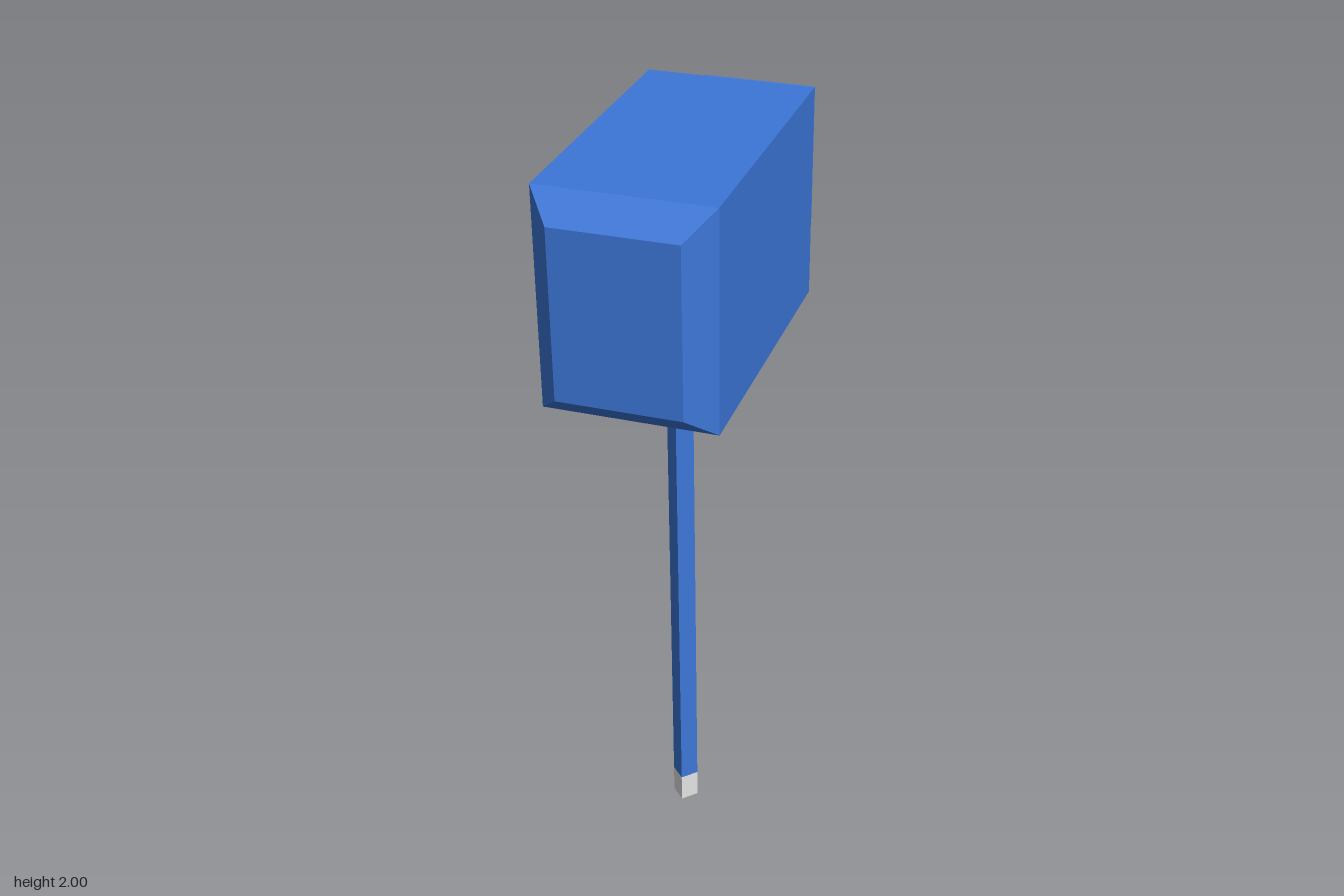
import * as THREE from 'three';

const HEAD_Y = 1.726;
const CORNERS = [[1, 1], [-1, 1], [-1, -1], [1, -1]];

// Rectangular loft along z, sections run front to back as [z, halfWidth, halfHeight]
function loft(sections) {
  const pos = [];
  const rings = sections.map(([z, w, h]) => CORNERS.map(([x, y]) => [x * w, y * h, z]));
  const tri = (...points) => points.forEach((p) => pos.push(...p));
  for (let i = 0; i < rings.length - 1; i++) {
    const a = rings[i], b = rings[i + 1];
    for (let j = 0; j < 4; j++) {
      const k = (j + 1) % 4;
      tri(a[j], b[j], b[k]);
      if (sections[i + 1][1] > 0) tri(a[j], b[k], a[k]);
      else { pos.length -= 9; tri(a[j], b[j], a[k]); }
    }
  }
  // Flat front and back caps
  const f = rings[0], e = rings[rings.length - 1];
  tri(f[0], f[1], f[2]);
  tri(f[0], f[2], f[3]);
  if (sections[sections.length - 1][1] > 0) {
    tri(e[0], e[2], e[1]);
    tri(e[0], e[3], e[2]);
  }
  const geo = new THREE.BufferGeometry();
  geo.setAttribute('position', new THREE.Float32BufferAttribute(pos, 3));
  geo.computeVertexNormals();
  return geo;
}

export function createModel() {
  const group = new THREE.Group();
  const blue = new THREE.MeshStandardMaterial({ color: 0x3c76d8 });
  blue.name = 'blue';
  const paleGrey = new THREE.MeshStandardMaterial({ color: 0xe4e4e4 });
  paleGrey.name = 'paleGrey';
  blue.flatShading = paleGrey.flatShading = true;

  const add = (name, geo, mat, x, y, z) => {
    const mesh = new THREE.Mesh(geo, mat);
    mesh.name = name;
    mesh.position.set(x, y, z);
    group.add(mesh);
  };

  // Bevelled hammer block
  add('hammerHead', loft([
    [0.78, 0.152, 0.212], [0.71, 0.213, 0.275], [-0.047, 0.213, 0.275], [-0.1, 0.12, 0.154],
  ]), blue, 0, HEAD_Y - 0.001, 0);

  // Neck and pointed spike behind the head
  add('backSpike', loft([
    [-0.1, 0.12, 0.154], [-0.218, 0.087, 0.084], [-0.298, 0.149, 0.183],
    [-0.45, 0.086, 0.082], [-0.778, 0, 0],
  ]), blue, 0, HEAD_Y, 0);

  // Four-sided handle parts, corners on the x and z axes
  const post = (name, radius, y0, y1, mat) =>
    add(name, new THREE.CylinderGeometry(radius, radius, y1 - y0, 4), mat, -0.012, (y0 + y1) / 2, 0.332);
  post('collar', 0.091, 1.376, 1.452, blue);
  post('handle', 0.035, 0.08, 1.38, blue);
  post('handleTip', 0.035, 0, 0.08, paleGrey);

  return group;
}
